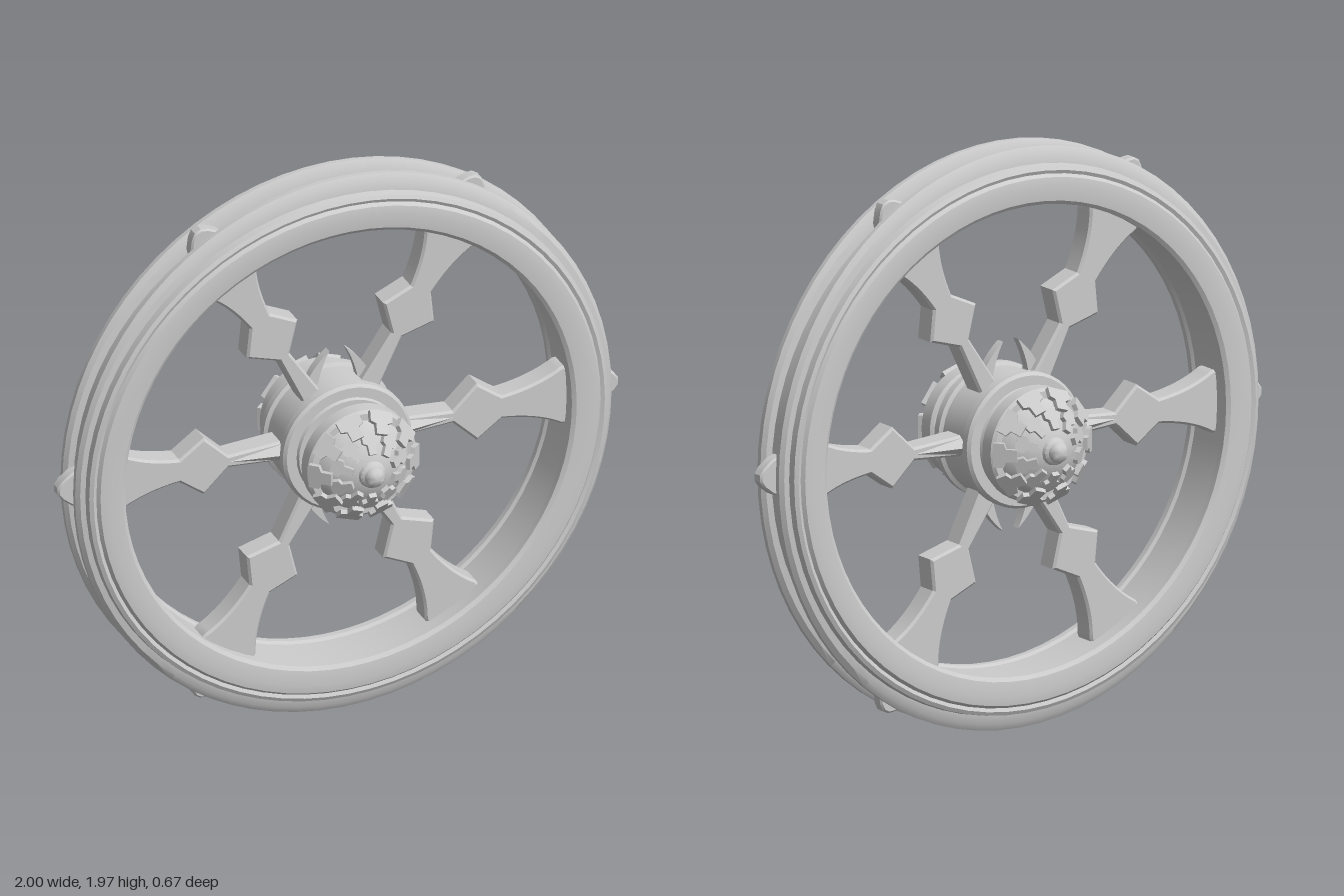
import * as THREE from 'three';
import { toCreasedNormals } from 'three/addons/utils/BufferGeometryUtils.js';

const CY = 0.985;   // axle height
const CZ = -0.018;  // mid-plane of the rim
const mat = new THREE.MeshStandardMaterial({ color: 0xcccccc, side: THREE.DoubleSide });

function part(parent, name, geo, crease = 0.5) {
  const mesh = new THREE.Mesh(toCreasedNormals(geo, crease), mat);
  mesh.name = name;
  parent.add(mesh);
  return mesh;
}

// Lathe around z from [radius, z] pairs running back to front on the outside
function turned(points, segments) {
  const geo = new THREE.LatheGeometry(points.map(([r, z]) => new THREE.Vector2(r, z)), segments);
  return geo.rotateX(Math.PI / 2);
}

// Flat shape extruded evenly about z = 0
function plate(shape, depth, bevel = 0) {
  const geo = new THREE.ExtrudeGeometry(shape, {
    depth: depth - 2 * bevel, bevelEnabled: bevel > 0, bevelSize: bevel,
    bevelThickness: bevel, bevelOffset: -bevel, bevelSegments: 1, curveSegments: 10,
  });
  return geo.translate(0, 0, -depth / 2 + bevel);
}

function polygon(points) {
  return new THREE.Shape(points.map(([x, y]) => new THREE.Vector2(x, y)));
}

// Spoke along +x: straight neck, diamond, narrow waist and flared foot
function spokeShape() {
  const s = new THREE.Shape();
  s.moveTo(0.15, -0.04);
  s.lineTo(0.4, -0.022);
  s.lineTo(0.487, -0.105);
  s.lineTo(0.575, -0.042);
  s.quadraticCurveTo(0.7, -0.055, 0.785, -0.105);
  s.lineTo(0.83, -0.11);
  s.lineTo(0.83, 0.11);
  s.lineTo(0.785, 0.105);
  s.quadraticCurveTo(0.7, 0.055, 0.575, 0.042);
  s.lineTo(0.487, 0.105);
  s.lineTo(0.4, 0.022);
  s.lineTo(0.15, 0.04);
  return s;
}

// Rim with two raised tyre ridges and stepped side faces
function buildRim() {
  const half = [
    [0.925, 0], [0.925, 0.026], [0.945, 0.031], [0.957, 0.045], [0.957, 0.062], [0.945, 0.076],
    [0.928, 0.08], [0.925, 0.105], [0.912, 0.112], [0.9, 0.106], [0.89, 0.118],
    [0.86, 0.122], [0.81, 0.116], [0.797, 0.106], [0.797, 0.085], [0.805, 0.075], [0.805, 0],
  ];
  const back = half.slice(1, -1).reverse().map(([r, z]) => [r, -z]);
  const geo = turned([...half, ...back, half[0]].map(([r, z]) => [r, z]), 72);
  // The tread rises slightly toward top and bottom
  const p = geo.attributes.position;
  for (let i = 0; i < p.count; i++) {
    const r = Math.hypot(p.getX(i), p.getY(i));
    const k = THREE.MathUtils.clamp((r - 0.926) / 0.031, 0, 1);
    p.setY(i, p.getY(i) * (1 + 0.0293 * k));
  }
  return geo;
}

// Curved horn beside the hub
function hornShape() {
  const s = new THREE.Shape();
  s.moveTo(0.07, 0.21);
  s.lineTo(0.125, 0.19);
  s.quadraticCurveTo(0.095, 0.27, 0.03, 0.322);
  s.quadraticCurveTo(0.06, 0.265, 0.07, 0.21);
  return s;
}

// Ring of leaning petals; a: outer [r, z], b: inner [r, z], w0/w1: widths at each end
function petalRing(parent, name, count, a, b, w0, w1, turn) {
  const dr = b[0] - a[0], dz = b[1] - a[1], len = Math.hypot(dr, dz);
  const shape = polygon([
    [0, -w0 / 2], [len * 0.45, -w0 / 2], [len * 0.55, -w1 / 2], [len, -w1 / 2],
    [len, w1 / 2], [len * 0.55, w1 / 2], [len * 0.45, w0 / 2], [0, w0 / 2],
  ]);
  for (let i = 0; i < count; i++) {
    const geo = plate(shape, 0.016);
    geo.rotateY(-Math.atan2(dz, dr)).translate(a[0], 0, a[1]);
    geo.rotateZ(turn + (i / count) * Math.PI * 2);
    part(parent, name, geo);
  }
}

// Axle end cap facing +z
function buildCap() {
  const cap = new THREE.Group();
  cap.name = 'hubCap';
  part(cap, 'capNeck', turned([[0.155, 0.09], [0.155, 0.112], [0.118, 0.118], [0.118, 0.15]], 32));
  part(cap, 'capFlange', turned([
    [0, 0.145], [0.185, 0.145], [0.195, 0.152], [0.195, 0.2], [0.185, 0.21], [0, 0.212],
  ], 40));
  part(cap, 'capDome', turned([
    [0.165, 0.205], [0.15, 0.228], [0.12, 0.252], [0.085, 0.272], [0.055, 0.285], [0, 0.295],
  ], 32), 0.8);
  part(cap, 'capTip', turned([
    [0.05, 0.275], [0.045, 0.298], [0.034, 0.305], [0.034, 0.318], [0.024, 0.33], [0, 0.336],
  ], 16), 0.8);
  petalRing(cap, 'outerPetal', 10, [0.192, 0.212], [0.135, 0.268], 0.082, 0.042, 0);
  petalRing(cap, 'innerPetal', 10, [0.135, 0.25], [0.075, 0.294], 0.055, 0.026, Math.PI / 10);
  return cap;
}

export function createModel() {
  const model = new THREE.Group();
  model.name = 'wheel';

  const wheel = new THREE.Group();
  wheel.name = 'wheelBody';
  wheel.position.set(0, CY, CZ);
  model.add(wheel);

  part(wheel, 'rim', buildRim());

  // Six spokes, each with a stud on the tread
  const studShape = polygon([
    [0.9, -0.075], [0.95, -0.06], [0.985, -0.033], [1, -0.012],
    [1, 0.012], [0.985, 0.033], [0.95, 0.06], [0.9, 0.075],
  ]);
  for (let i = 0; i < 6; i++) {
    const angle = (i * Math.PI) / 3;
    part(wheel, 'spoke', plate(spokeShape(), 0.085, 0.008)).rotation.z = angle;
    part(wheel, 'rimStud', plate(studShape, 0.045, 0.006)).rotation.z = angle;
  }

  // Hub barrel with raised end rings
  part(wheel, 'hubBarrel', turned([
    [0, -0.115], [0.18, -0.115], [0.185, -0.105], [0.22, -0.105], [0.23, -0.095], [0.23, -0.07],
    [0.218, -0.062], [0.218, 0.062], [0.23, 0.07], [0.23, 0.095], [0.22, 0.105], [0.185, 0.105],
    [0.18, 0.115], [0, 0.115],
  ], 40));

  // Four horns, above and below the hub
  for (const sx of [1, -1]) {
    const turn = sx > 0 ? 0 : Math.PI;
    for (const tilt of [0, Math.PI]) {
      const horn = part(wheel, 'hubHorn', plate(hornShape(), 0.03));
      horn.rotation.set(tilt, turn, 0);
    }
    // Slim darts lying on the side spokes
    for (const sz of [1, -1]) {
      const dart = new THREE.ConeGeometry(0.03, 0.2, 4).rotateZ(-Math.PI / 2);
      dart.translate(0.3, 0, 0);
      const mesh = part(wheel, 'spokeDart', dart);
      mesh.position.z = sz * 0.045;
      mesh.rotation.y = turn;
    }
  }

  // Matching caps on both ends of the axle
  for (const turn of [0, Math.PI]) {
    const cap = buildCap();
    cap.position.y = CY;
    cap.rotation.y = turn;
    model.add(cap);
  }
  return model;
}
